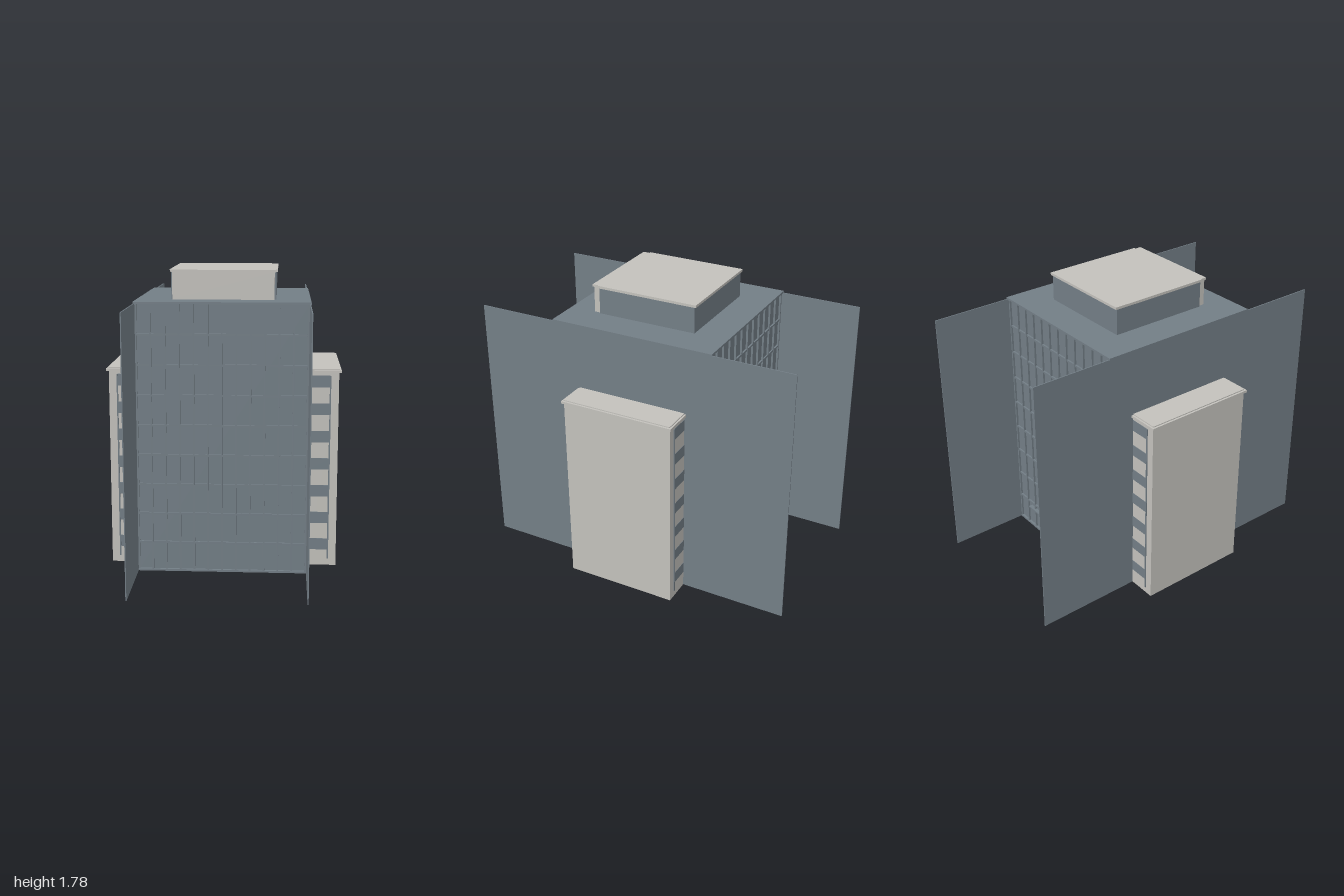
import * as THREE from 'three';

export function createModel() {
  const model = new THREE.Group();
  const slate = new THREE.MeshStandardMaterial({ color: 0x737e86 });
  slate.name = 'slate';
  const stone = new THREE.MeshStandardMaterial({ color: 0xc3c1bc });
  stone.name = 'paleStone';

  // Box given by its minimum and maximum on each axis
  function block(name, material, [x0, x1], [y0, y1], [z0, z1], parent = model) {
    const mesh = new THREE.Mesh(new THREE.BoxGeometry(x1 - x0, y1 - y0, z1 - z0), material);
    mesh.position.set((x0 + x1) / 2, (y0 + y1) / 2, (z0 + z1) / 2);
    mesh.name = name;
    parent.add(mesh);
    return mesh;
  }

  // Main tower and roof slab
  block('towerCore', slate, [-0.5, 0.5], [0.002, 1.6], [-0.49, 0.49]);
  block('roofSlab', slate, [-0.51, 0.51], [1.598, 1.61], [-0.51, 0.51]);
  block('floorPlate', stone, [-0.38, 0.38], [0, 0.008], [-0.4, 0.4]);

  // Curtain walls: raised grid of mullions and floor lines, front and back
  const bays = 12, floors = 9;
  for (const side of [1, -1]) {
    const wall = new THREE.Group();
    wall.name = side > 0 ? 'frontCurtainWall' : 'backCurtainWall';
    const depth = [0.488, 0.502];
    for (let i = 0; i <= bays; i++) {
      const x = -0.495 + (0.99 * i) / bays;
      block('mullion', slate, [x - 0.005, x + 0.005], [0.01, 1.6], depth, wall);
    }
    for (let j = 1; j < floors; j++) {
      const y = (1.6 * j) / floors;
      block('floorLine', slate, [-0.5, 0.5], [y - 0.006, y + 0.006], [0.488, 0.5], wall);
    }
    block('plinth', slate, [-0.5, 0.5], [0, 0.012], [0.488, 0.505], wall);
    if (side < 0) wall.rotation.y = Math.PI;
    model.add(wall);
  }
  // Thin canopy over the back entrance
  block('entranceCanopy', slate, [-0.38, 0.38], [0.14, 0.15], [-0.515, -0.488]);

  for (const s of [1, -1]) {
    const span = (a, b) => (s > 0 ? [a, b] : [-b, -a]);

    // Great side walls reaching past the tower
    block('sideWall', slate, span(0.5, 0.506), [0, 1.6], [-1, 1]);

    // Side wing with a stepped cap
    const wing = new THREE.Group();
    wing.name = s > 0 ? 'leftWing' : 'rightWing';
    block('wingBody', stone, span(0.504, 0.682), [0, 1.185], [-0.345, 0.345], wing);
    block('wingCap', stone, span(0.504, 0.696), [1.185, 1.2], [-0.356, 0.356], wing);
    block('wingCapTop', stone, span(0.504, 0.684), [1.2, 1.206], [-0.345, 0.345], wing);

    // Window bands and edge strip on both ends of the wing
    for (const e of [1, -1]) {
      const zSpan = (a, b) => (e > 0 ? [a, b] : [-b, -a]);
      for (let i = 0; i < 7; i++) {
        const y = 0.098 + i * 0.1665;
        block('windowBand', slate, span(0.506, 0.631), [y, y + 0.07], zSpan(0.342, 0.347), wing);
      }
      block('windowEdge', slate, span(0.628, 0.636), [0.04, 1.165], zSpan(0.342, 0.35), wing);
    }
    model.add(wing);
  }

  // Rooftop penthouse with a pale front and overhanging roof
  block('penthouseBody', slate, [-0.308, 0.308], [1.61, 1.77], [-0.305, 0.31]);
  block('penthouseFront', stone, [-0.298, 0.298], [1.61, 1.77], [0.308, 0.35]);
  block('penthouseRoof', stone, [-0.315, 0.315], [1.768, 1.783], [-0.315, 0.315]);
  block('penthouseRoofFront', stone, [-0.305, 0.305], [1.768, 1.782], [0.31, 0.356]);

  return model;
}
